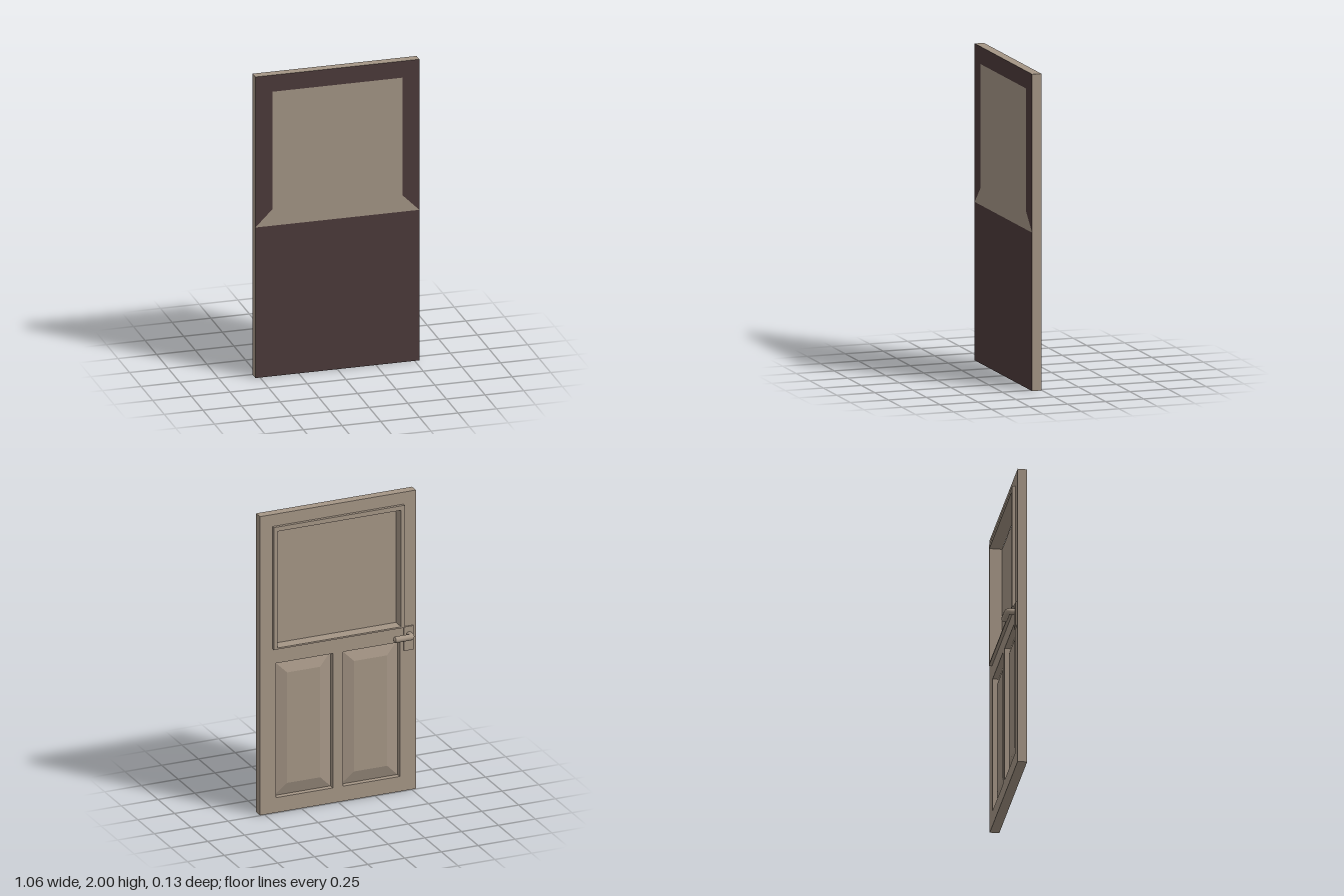
import * as THREE from 'three';

const wood = new THREE.MeshStandardMaterial({ color: 0xa59686, flatShading: true });
const pane = new THREE.MeshStandardMaterial({ color: 0xa59686, side: THREE.DoubleSide });
const dark = new THREE.MeshStandardMaterial({ color: 0x4d3b3b });
const metal = new THREE.MeshStandardMaterial({ color: 0xa59686 });

const BACK = 0.005, FRONT = 0.065;      // slab faces along z
const W = 0.53, H = 2;                  // half width and height
const WIN = [-0.42, 1.11, 0.42, 1.89];  // window opening: x0, y0, x1, y1
const PANELS = [[-0.42, 0.1, -0.035, 1.0], [0.035, 0.1, 0.42, 1.0]];

const poly = (pts) => new THREE.Shape(pts.map(([x, y]) => new THREE.Vector2(x, y)));
const rect = ([x0, y0, x1, y1]) => poly([[x0, y0], [x1, y0], [x1, y1], [x0, y1]]);

function add(parent, name, geometry, material, z = 0) {
  const mesh = new THREE.Mesh(geometry, material);
  mesh.name = name;
  mesh.position.z = z;
  parent.add(mesh);
  return mesh;
}

// Rectangular board with rectangular openings, spanning z0..z1
function board(parent, name, outline, holes, z0, z1) {
  const shape = rect(outline);
  shape.holes = holes.map(rect);
  const geometry = new THREE.ExtrudeGeometry(shape, { depth: z1 - z0, bevelEnabled: false });
  return add(parent, name, geometry, wood, z0);
}

// Raised panel facing -z: sloping border from the recess floor up to a flat field
function raisedPanel([x0, y0, x1, y1], border, zBase, zField) {
  const ring = (b, z) => [x0 + b, y0 + b, z, x1 - b, y0 + b, z, x1 - b, y1 - b, z, x0 + b, y1 - b, z];
  const index = [4, 6, 5, 4, 7, 6];
  for (let i = 0; i < 4; i++) {
    const j = (i + 1) % 4;
    index.push(i, i + 4, j, j, i + 4, j + 4);
  }
  const indexed = new THREE.BufferGeometry();
  indexed.setAttribute('position', new THREE.Float32BufferAttribute([...ring(0, zBase), ...ring(border, zField)], 3));
  indexed.setIndex(index);
  const geometry = indexed.toNonIndexed();
  geometry.computeVertexNormals();
  return geometry;
}

function createHandle() {
  const handle = new THREE.Group();
  handle.name = 'handle';
  const y = 1.045, x = -0.479, z = -0.05, r = 0.02;

  const plate = add(handle, 'handlePlate', new THREE.BoxGeometry(0.065, 0.16, 0.01), wood);
  plate.position.set(-0.4775, 1.02, 0);

  // Stem, quarter bend and grip as one tube
  const path = new THREE.CurvePath();
  const bend = [new THREE.Vector3(x, y, z + 0.021), new THREE.Vector3(x, y, z), new THREE.Vector3(x + 0.021, y, z)];
  const end = new THREE.Vector3(-0.362, y, z);
  path.add(new THREE.LineCurve3(new THREE.Vector3(x, y, 0), bend[0]));
  path.add(new THREE.QuadraticBezierCurve3(...bend));
  path.add(new THREE.LineCurve3(bend[2], end));
  add(handle, 'lever', new THREE.TubeGeometry(path, 48, r, 16), metal);

  // Pointed end of the grip
  const tip = add(handle, 'leverTip', new THREE.ConeGeometry(r, 0.014, 16, 1, true), metal);
  tip.rotation.z = -Math.PI / 2;
  tip.position.set(end.x + 0.007, y, z);
  return handle;
}

export function createModel() {
  const door = new THREE.Group();
  door.name = 'door';

  // Slab with the window and panel openings, and the trim around the window
  board(door, 'slab', [-W, 0, W, H], [WIN, ...PANELS], BACK, FRONT - 0.0004);
  board(door, 'windowTrim', [-0.445, 1.1, 0.445, 1.92], [WIN], -0.015, BACK);

  // Front skin: dark lower half and upper surround, lighter window with flared sill
  const [x0, y0, x1, y1] = WIN;
  add(door, 'lowerFront', new THREE.ShapeGeometry(rect([-W, 0, W, 1])), dark, FRONT);
  const surround = poly([[-W, 1], [x0, y0], [x0, y1], [x1, y1], [x1, y0], [W, 1], [W, H], [-W, H]]);
  add(door, 'upperFront', new THREE.ShapeGeometry(surround), dark, FRONT);
  const window = poly([[-W, 1], [W, 1], [x1, y0], [x1, y1], [x0, y1], [x0, y0]]);
  add(door, 'windowPane', new THREE.ShapeGeometry(window), pane, FRONT);

  // Raised panels on the back
  PANELS.forEach((p, i) => add(door, i ? 'leftPanel' : 'rightPanel', raisedPanel(p, 0.08, 0.042, 0.018), wood));

  door.add(createHandle());
  return door;
}
